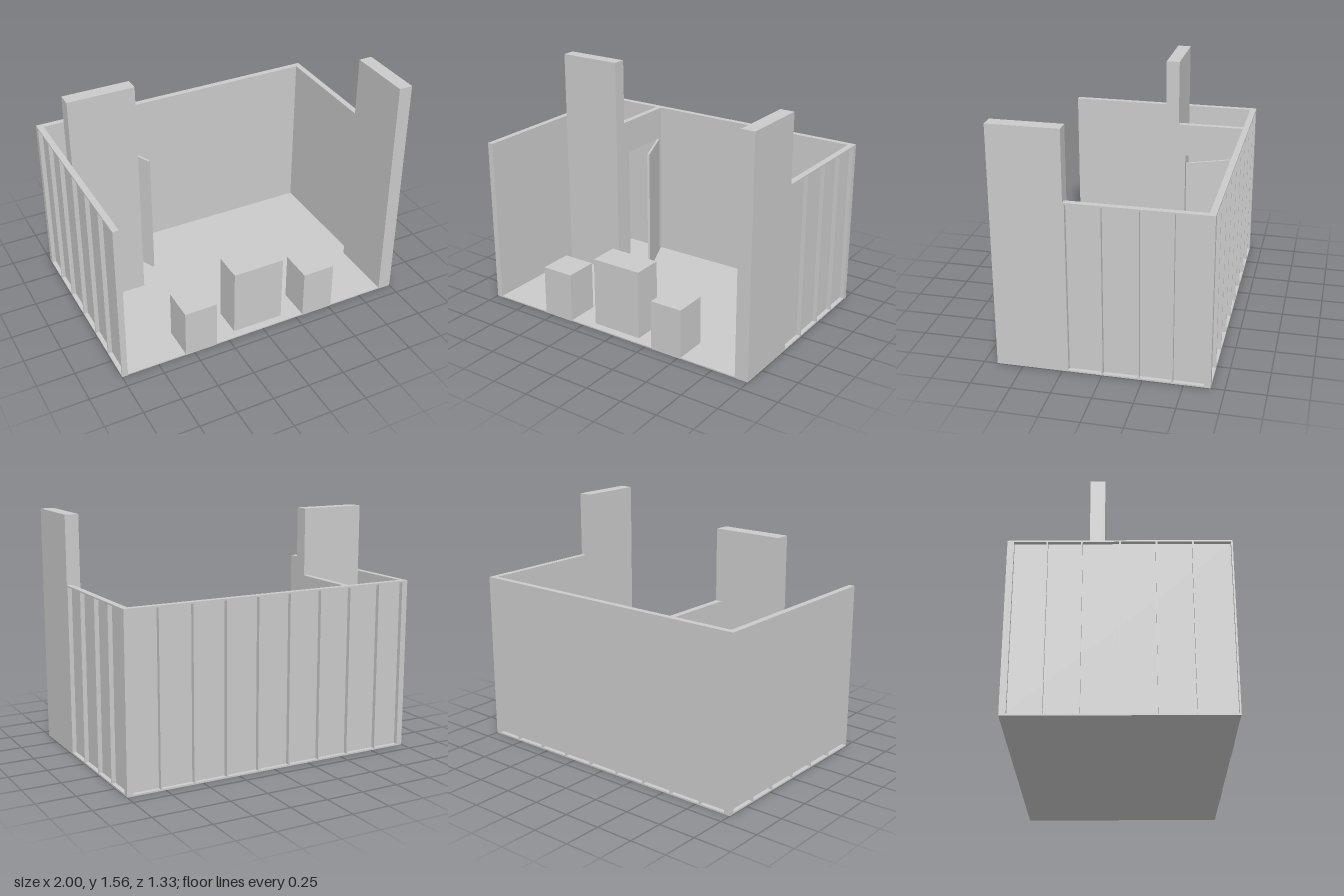
import * as THREE from 'three';

const mat = new THREE.MeshStandardMaterial({ color: 0xcccccc, flatShading: true });
const H = 1.115;      // wall height
const T = 0.04;       // wall thickness
const SKIN = 0.012;   // inner sheet thickness
const STUD = 0.01;    // frame bar width

// Box given by its minimum and maximum corners
function box(parent, name, [x0, y0, z0], [x1, y1, z1]) {
  const mesh = new THREE.Mesh(new THREE.BoxGeometry(x1 - x0, y1 - y0, z1 - z0), mat);
  mesh.position.set((x0 + x1) / 2, (y0 + y1) / 2, (z0 + z1) / 2);
  mesh.name = name;
  parent.add(mesh);
  return mesh;
}

// Framed wall along local x, smooth inside (+z), open frame outside (z = 0)
function framedWall(name, marks) {
  const wall = new THREE.Group();
  wall.name = name;
  const a = marks[0], b = marks[marks.length - 1], d = T - SKIN;
  box(wall, 'sheet', [a, 0, d], [b, H, T]);
  box(wall, 'bottomRail', [a, 0, 0], [b, STUD, d]);
  box(wall, 'topRail', [a, H - STUD, 0], [b, H, d]);
  marks.forEach((m, i) => {
    const x0 = i === 0 ? a : i === marks.length - 1 ? b - STUD : m - STUD / 2;
    box(wall, 'stud', [x0, STUD, 0], [x0 + STUD, H - STUD, d]);
  });
  return wall;
}

export function createModel() {
  const g = new THREE.Group();
  g.name = 'exhibitionBooth';

  box(g, 'floor', [-0.998, 0, -0.663], [0.998, 0.008, 0.663]);

  // Outer walls
  const back = framedWall('backWall', Array.from({ length: 10 }, (_, i) => -1 + (i * 2) / 9));
  back.position.z = -0.665;
  g.add(back);

  const side = framedWall('rightWall', [-0.665, -0.43, -0.225, 0, 0.215, 0.43, 0.665].map(z => -z).reverse());
  side.rotation.y = Math.PI / 2;
  side.position.x = -1;
  g.add(side);

  const shortSide = framedWall('leftWall', [-0.665, -0.43, -0.225, 0, 0.22]);
  shortSide.rotation.y = -Math.PI / 2;
  shortSide.position.x = 1;
  g.add(shortSide);

  // Solid corner posts where the walls meet
  for (const s of [-1, 1]) {
    const x = [s, s * (1 - T)].sort((p, q) => p - q);
    box(g, 'cornerPost', [x[0], 0, -0.665], [x[1], H, -0.625]);
  }

  // Tall sign towers
  box(g, 'leftTower', [0.91, 0, 0.22], [1, 1.56, 0.665]);
  box(g, 'rightTower', [-0.96, 0, -0.18], [-0.52, 1.56, -0.09]);

  // Storage room partition with a doorway
  const partition = new THREE.Shape([
    [0.63, 0], [0.58, 0], [0.58, 0.89], [0.23, 0.89], [0.23, 0], [0.18, 0], [0.18, H], [0.63, H],
  ].map(p => new THREE.Vector2(...p)));
  const part = new THREE.Mesh(
    new THREE.ExtrudeGeometry(partition, { depth: 0.04, bevelEnabled: false }), mat);
  part.rotation.y = Math.PI / 2;
  part.position.x = -0.56;
  part.name = 'partition';
  g.add(part);

  // Open door, hinged at the back of the doorway
  const hinge = new THREE.Group();
  hinge.name = 'door';
  box(hinge, 'doorLeaf', [-0.008, 0.008, 0], [0.008, 0.89, 0.35]);
  hinge.position.set(-0.515, 0, -0.58);
  hinge.rotation.y = Math.atan2(0.14, 0.32);
  g.add(hinge);

  // Counter and two pedestals
  box(g, 'counter', [-0.185, 0, 0.41], [0.165, 0.47, 0.61]);
  box(g, 'rightPedestal', [-0.56, 0, 0.44], [-0.34, 0.335, 0.665]);
  box(g, 'leftPedestal', [0.3, 0, 0.44], [0.52, 0.335, 0.665]);

  return g;
}
